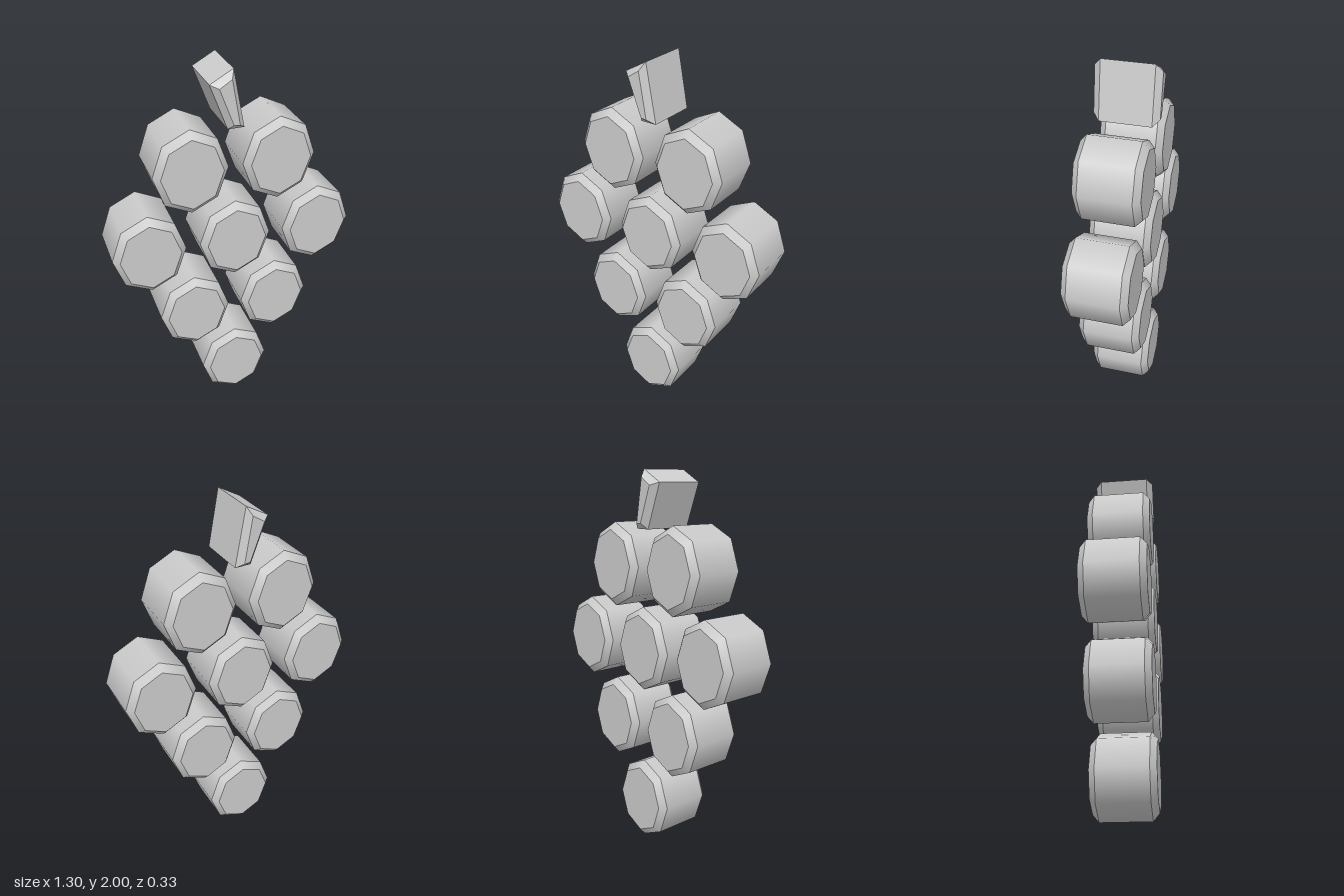
import * as THREE from 'three';
import { mergeGeometries } from 'three/addons/utils/BufferGeometryUtils.js';

const HALF_DEPTH = 0.165; // half thickness of the whole cluster
const BEVEL = 0.033;

// Eight-sided drum with chamfered rims, one corner pointing up
function berryGeometry(rx, ry) {
  const body = 2 * (HALF_DEPTH - BEVEL);
  const inner = rx - BEVEL;
  const parts = [new THREE.CylinderGeometry(rx, rx, body, 8, 1, true)];
  for (const s of [1, -1]) {
    const rim = new THREE.CylinderGeometry(s > 0 ? inner : rx, s > 0 ? rx : inner, BEVEL, 8, 1, true);
    rim.translate(0, s * (HALF_DEPTH - BEVEL / 2), 0);
    const cap = new THREE.CircleGeometry(inner, 8);
    cap.rotateX(-s * Math.PI / 2).translate(0, s * HALF_DEPTH, 0);
    parts.push(rim, cap);
  }
  return mergeGeometries(parts).rotateX(Math.PI / 2).scale(1, ry / rx, 1);
}

// Tapered, leaning stem with chamfered front and back
function stemGeometry() {
  const outline = [[-0.042, 1.706], [0.042, 1.706], [-0.013, 2.0], [-0.13, 1.936]];
  const shape = new THREE.Shape(outline.map(([x, y]) => new THREE.Vector2(x, y)));
  const depth = 2 * (HALF_DEPTH - BEVEL);
  return new THREE.ExtrudeGeometry(shape, {
    depth, bevelThickness: BEVEL, bevelSize: 0.03, bevelOffset: -0.03, bevelSegments: 1,
  }).translate(0, 0, -depth / 2);
}

export function createModel() {
  const model = new THREE.Group();
  model.name = 'grapeBunch';
  const material = new THREE.MeshStandardMaterial({ color: 0xcccccc });

  // Rows of berries from the bottom up
  const berries = new THREE.Group();
  berries.name = 'berries';
  const geometry = berryGeometry(0.192, 0.224);
  [1, 2, 3, 2].forEach((count, row) => {
    for (let i = 0; i < count; i++) {
      const berry = new THREE.Mesh(geometry, material);
      berry.name = 'berry';
      berry.position.set((i - (count - 1) / 2) * 0.458, 0.228 + row * 0.427, 0);
      berries.add(berry);
    }
  });
  model.add(berries);

  const stem = new THREE.Mesh(stemGeometry(), material);
  stem.name = 'stem';
  model.add(stem);
  return model;
}
